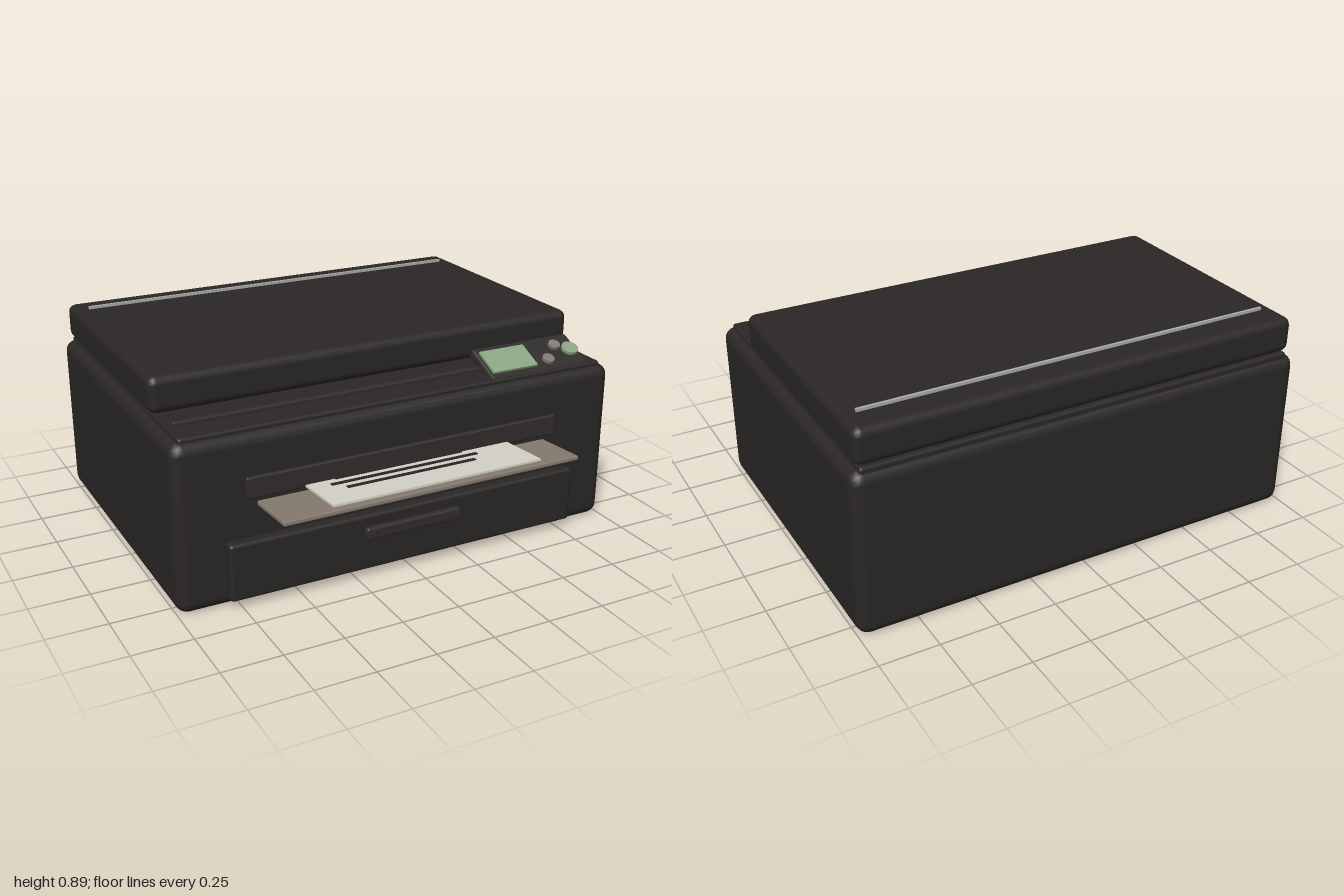
import * as THREE from 'three';
import { RoundedBoxGeometry } from 'three/addons/geometries/RoundedBoxGeometry.js';

const mat = (color) => new THREE.MeshStandardMaterial({ color });
const shell = mat(0x2a2726);
const trim = mat(0x302d2b);
const trayTone = mat(0x857a70);
const paperTone = mat(0xd6d3c9);
const silver = mat(0xa8aca8);
const green = mat(0x8aa582);
const ink = mat(0x2a2726);

export function createModel() {
  const model = new THREE.Group();
  model.name = 'printer';

  function add(parent, name, geometry, material, x, y, z) {
    const mesh = new THREE.Mesh(geometry, material);
    mesh.name = name;
    mesh.position.set(x, y, z);
    parent.add(mesh);
    return mesh;
  }

  // Box given by its limits; r > 0 rounds the edges
  function block(name, material, [x0, x1], [y0, y1], [z0, z1], r = 0) {
    const size = [x1 - x0, y1 - y0, z1 - z0];
    const geometry = r > 0 ? new RoundedBoxGeometry(...size, 2, r) : new THREE.BoxGeometry(...size);
    return add(model, name, geometry, material, (x0 + x1) / 2, (y0 + y1) / 2, (z0 + z1) / 2);
  }

  // Housing, scanner deck and lid
  block('body', shell, [-1, 1], [0, 0.71], [-0.84, 0.59], 0.05);
  block('scannerDeck', shell, [-0.96, 0.96], [0.69, 0.725], [-0.82, 0.56], 0.012);
  block('lid', shell, [-0.975, 0.975], [0.725, 0.878], [-0.82, 0.3], 0.035);
  block('lidStrip', silver, [-0.91, 0.91], [0.87, 0.89], [-0.695, -0.683]);
  block('deckBar', trim, [-0.935, 0.925], [0.71, 0.743], [0.415, 0.442], 0.006);

  // Paper drawer with its handle
  block('drawer', shell, [-0.8, 0.8], [0.035, 0.28], [0.57, 0.632], 0.015);
  block('drawerHandle', trim, [-0.22, 0.22], [0.177, 0.23], [0.61, 0.656], 0.01);

  // Output slot
  block('outputSlot', trim, [-0.71, 0.71], [0.445, 0.535], [0.57, 0.604], 0.008);

  // Output tray, sloping up towards its front edge
  const tray = block('outputTray', trayTone, [-0.665, 0.665], [0.413, 0.433], [0.5, 0.835], 0.006);
  tray.rotation.x = -0.07;

  // Printed sheet with its lines
  const sheet = new THREE.Group();
  sheet.name = 'printedSheet';
  sheet.position.set(0, 0.458, 0.67);
  sheet.rotation.x = -0.07;
  model.add(sheet);
  add(sheet, 'paper', new THREE.BoxGeometry(0.935, 0.009, 0.35), paperTone, 0, 0, 0);
  [[0.605, 0.58], [0.658, 0.665], [0.712, 0.58]].forEach(([z, length]) => {
    add(sheet, 'printLine', new THREE.BoxGeometry(length, 0.005, 0.018), ink, -0.05, 0.006, z - 0.67);
  });

  // Tilted control panel
  const panel = new THREE.Group();
  panel.name = 'controlPanel';
  panel.position.set(0.665, 0.743, 0.455);
  panel.rotation.x = 0.43;
  model.add(panel);
  add(panel, 'panelBase', new RoundedBoxGeometry(0.485, 0.045, 0.2, 2, 0.012), trim, 0, 0, 0);
  add(panel, 'screen', new THREE.BoxGeometry(0.22, 0.014, 0.13), green, -0.115, 0.026, 0);
  [[0.065, 0.04, 0.026, silver], [0.14, -0.033, 0.026, silver], [0.2, 0.003, 0.037, green]]
    .forEach(([x, z, r, tone]) => {
      const material = tone === silver ? trayTone : tone;
      add(panel, 'button', new THREE.CylinderGeometry(r, r, 0.018, 24), material, x, 0.028, z);
    });

  return model;
}
